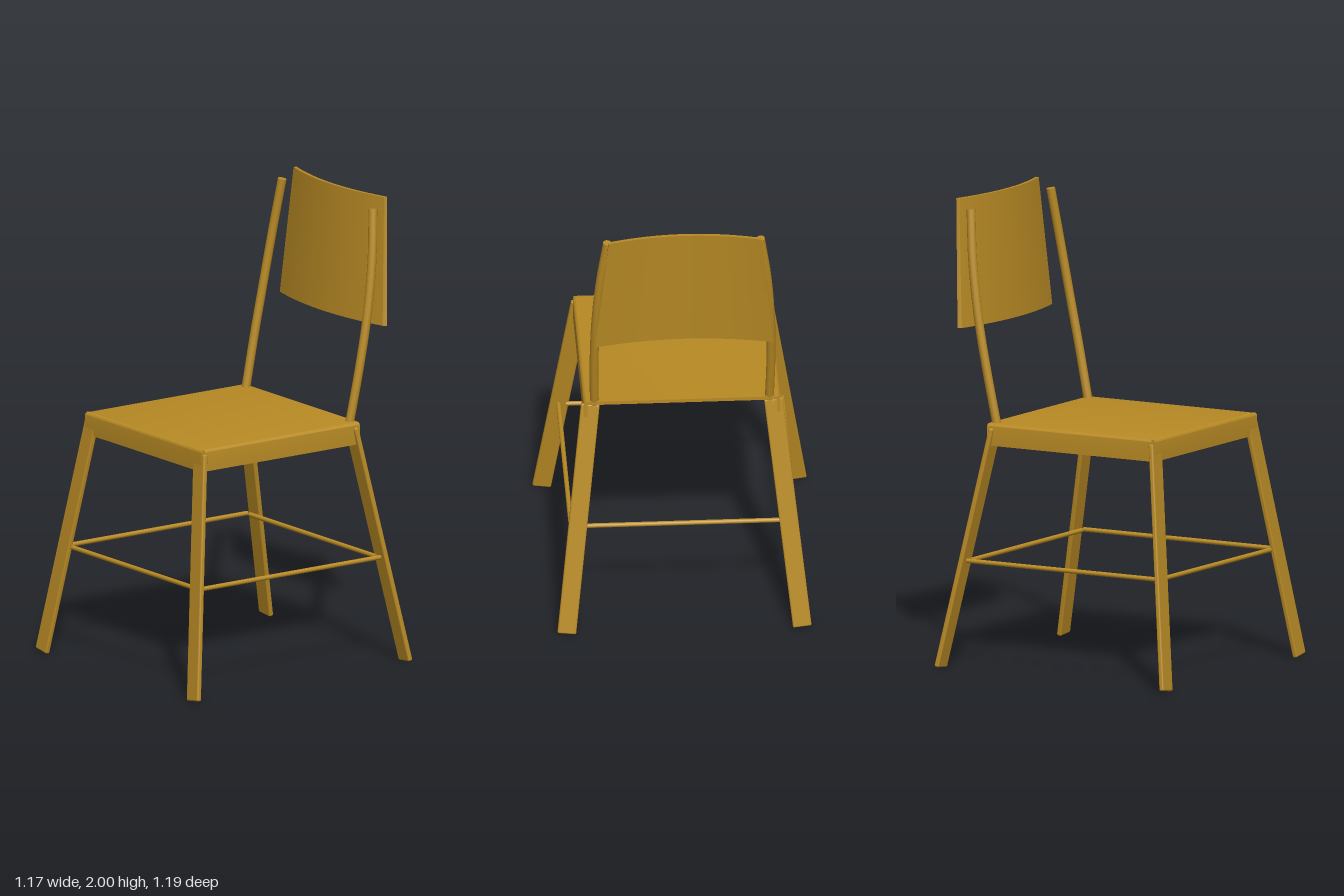
import * as THREE from 'three';
import { RoundedBoxGeometry } from 'three/addons/geometries/RoundedBoxGeometry.js';
import { toCreasedNormals } from 'three/addons/utils/BufferGeometryUtils.js';

const V = (x, y, z) => new THREE.Vector3(x, y, z);

export function createModel() {
  const model = new THREE.Group();
  model.name = 'chair';
  const wood = new THREE.MeshStandardMaterial({ color: 0xb88a24 });
  wood.name = 'golden wood';

  const add = (name, geometry, parent = model) => {
    const mesh = new THREE.Mesh(geometry, wood);
    mesh.name = name;
    parent.add(mesh);
    return mesh;
  };

  // Round bar between two points
  const rod = (name, a, b, radius) => {
    const mesh = add(name, new THREE.CylinderGeometry(radius, radius, a.distanceTo(b), 16));
    mesh.position.lerpVectors(a, b, 0.5);
    mesh.quaternion.setFromUnitVectors(V(0, 1, 0), b.clone().sub(a).normalize());
  };

  // Flat board between two points, its broad face turned to the front
  const board = (name, bottom, top) => {
    const up = top.clone().sub(bottom).normalize();
    const side = V(1, 0, 0).addScaledVector(up, -up.x).normalize();
    const out = side.clone().cross(up);
    const mesh = add(name, new RoundedBoxGeometry(0.08, bottom.distanceTo(top), 0.022, 3, 0.007));
    mesh.position.lerpVectors(bottom, top, 0.5);
    mesh.quaternion.setFromRotationMatrix(new THREE.Matrix4().makeBasis(side, up, out));
  };

  // Seat: folded sheet, open at the back and below
  const seat = new THREE.Group();
  seat.name = 'seat';
  model.add(seat);
  const W = 0.42, TOP = 1.06, LOW = 0.965, T = 0.016, R = 0.014;
  const fold = new THREE.Shape();
  fold.moveTo(-W, LOW);
  fold.lineTo(-W + T, LOW);
  fold.lineTo(-W + T, TOP - T);
  fold.lineTo(W - T, TOP - T);
  fold.lineTo(W - T, LOW);
  fold.lineTo(W, LOW);
  fold.lineTo(W, TOP - R);
  fold.absarc(W - R, TOP - R, R, 0, Math.PI / 2);
  fold.lineTo(-W + R, TOP);
  fold.absarc(-W + R, TOP - R, R, Math.PI / 2, Math.PI);
  const sheet = new THREE.ExtrudeGeometry(fold, { depth: 0.82, bevelEnabled: false, curveSegments: 5 });
  sheet.translate(0, 0, -0.38);
  add('seatSheet', toCreasedNormals(sheet, 0.6), seat);

  // Front lip, drawn in side profile and swept across the width
  const lip = new THREE.Shape();
  lip.moveTo(0, LOW);
  lip.lineTo(T, LOW);
  lip.lineTo(T, TOP - R);
  lip.absarc(T - R, TOP - R, R, 0, Math.PI / 2);
  lip.lineTo(0, TOP);
  const front = new THREE.ExtrudeGeometry(lip, { depth: 2 * W - 0.004, bevelEnabled: false, curveSegments: 5 });
  front.translate(0, 0, -W + 0.002);
  front.rotateY(-Math.PI / 2);
  front.translate(0, 0, 0.439);
  add('seatFrontLip', toCreasedNormals(front, 0.6), seat);

  // Legs, side stretchers and back posts on both sides
  for (const [side, s] of [['left', 1], ['right', -1]]) {
    board(side + 'FrontLeg', V(s * 0.545, 0.006, 0.588), V(s * 0.388, 1.035, 0.438));
    board(side + 'BackLeg', V(s * 0.502, 0.006, -0.562), V(s * 0.39, 1.037, -0.358));
    rod(side + 'Stretcher', V(s * 0.477, 0.47, -0.445), V(s * 0.477, 0.47, 0.51), 0.01);

    const curve = new THREE.CatmullRomCurve3([
      V(s * 0.373, 1.04, -0.358), V(s * 0.377, 1.28, -0.408), V(s * 0.373, 1.5, -0.452),
      V(s * 0.356, 1.74, -0.491), V(s * 0.326, 1.958, -0.518),
    ]);
    const post = new THREE.Group();
    post.name = side + 'BackPost';
    model.add(post);
    add('postBar', new THREE.TubeGeometry(curve, 24, 0.019, 14), post);
    for (const [name, t, d] of [['postTop', 1, 1], ['postBottom', 0, -1]]) {
      const cap = add(name, new THREE.CircleGeometry(0.019, 14), post);
      cap.position.copy(curve.getPointAt(t));
      cap.quaternion.setFromUnitVectors(V(0, 0, 1), curve.getTangentAt(t).multiplyScalar(d));
    }
  }

  // Front and back stretchers
  rod('frontStretcher', V(-0.445, 0.47, 0.51), V(0.445, 0.47, 0.51), 0.01);
  rod('backStretcher', V(-0.45, 0.47, -0.44), V(0.45, 0.47, -0.44), 0.01);

  // Backrest: tapered, leaning panel with its ends bent backwards
  const panel = new THREE.BoxGeometry(2, 1, 1, 24, 1, 1);
  const p = panel.attributes.position;
  for (let i = 0; i < p.count; i++) {
    const u = p.getX(i), t = p.getY(i) + 0.5, depth = 0.5 - p.getZ(i);
    const half = THREE.MathUtils.lerp(0.37, 0.325, t) + (1 - t) * 0.01 * depth;
    p.setXYZ(i, u * half, 1.45 + 0.55 * t, -0.49 - 0.04 * t - 0.047 * u * u - 0.015 * depth);
  }
  add('backrest', toCreasedNormals(panel, 0.6));

  return model;
}
